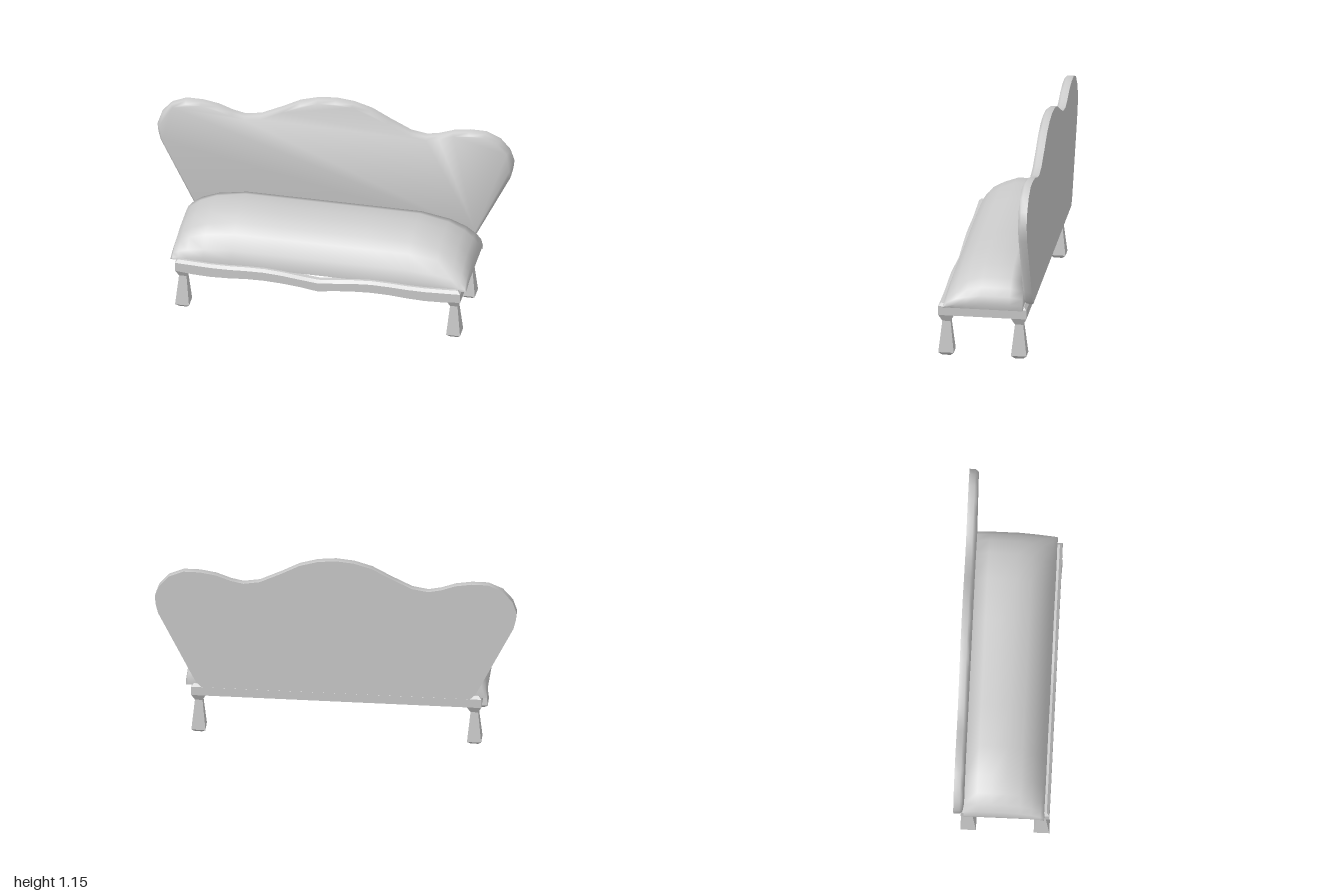
import * as THREE from 'three';
import { toCreasedNormals } from 'three/addons/utils/BufferGeometryUtils.js';

const material = new THREE.MeshStandardMaterial({ color: 0xcccccc });
const openMaterial = new THREE.MeshStandardMaterial({ color: 0xcccccc, side: THREE.DoubleSide });

// Joins rows of points with quads; optionally closes each row and the sequence of rows.
function skin(rows, closeRow, closeAll, caps = []) {
  const n = rows[0].length, index = [...caps];
  for (let i = 0; i < rows.length - (closeAll ? 0 : 1); i++) {
    for (let j = 0; j < n - (closeRow ? 0 : 1); j++) {
      const k = (i + 1) % rows.length, l = (j + 1) % n;
      const a = i * n + j, b = i * n + l, c = k * n + l, d = k * n + j;
      index.push(a, b, c, a, c, d);
    }
  }
  const g = new THREE.BufferGeometry();
  g.setAttribute('position', new THREE.Float32BufferAttribute(rows.flat(2), 3));
  g.setIndex(index);
  g.computeVertexNormals();
  return g;
}

function addMesh(parent, name, geometry, mat = material) {
  const mesh = new THREE.Mesh(geometry, mat);
  mesh.name = name;
  parent.add(mesh);
  return mesh;
}

// Three-lobed back panel with a bevelled front edge
function backrestGeometry() {
  const half = [[0.74, 0.31], [0.77, 0.34], [0.8, 0.4], [0.98, 0.77], [0.992, 0.82], [0.998, 0.87],
    [0.975, 0.94], [0.92, 1.005], [0.84, 1.04], [0.75, 1.04], [0.66, 1.025], [0.58, 0.995],
    [0.51, 0.98], [0.42, 0.995], [0.3, 1.055], [0.2, 1.11], [0.1, 1.14]];
  const outline = [...half, [0, 1.15], ...half.map(([x, y]) => [-x, y]).reverse()];
  const n = outline.length;
  const inset = (d) => outline.map(([x, y], i) => {
    const p = outline[(i + n - 1) % n], q = outline[(i + 1) % n];
    const tx = q[0] - p[0], ty = q[1] - p[1], len = Math.hypot(tx, ty);
    return [x - (ty / len) * d, y + (tx / len) * d];
  });
  const rows = [[0, -0.26], [0, -0.226], [0.014, -0.21]]
    .map(([d, z]) => inset(d).map(([x, y]) => [x, y, z]));
  const tris = THREE.ShapeUtils.triangulateShape(outline.map(([x, y]) => new THREE.Vector2(x, y)), []);
  const caps = tris.flatMap(([a, b, c]) => [a, c, b, a + 2 * n, b + 2 * n, c + 2 * n]);
  return toCreasedNormals(skin(rows, true, false, caps), 1.0);
}

// Domed seat, open underneath: crowned lengthwise and crosswise
function cushionGeometry() {
  const base = 0.295, rise = 0.235;
  const endProfile = [[0.822, 0], [0.83, 0.15], [0.82, 0.33], [0.79, 0.5], [0.74, 0.68], [0.65, 0.86], [0.49, 1]];
  const xs = [...endProfile.map(([x, f]) => [-x, f]), [-0.25, 1], [0, 1], [0.25, 1], ...[...endProfile].reverse()];
  const zs = [[-0.212, 0], [-0.211, 0.87], [-0.14, 1], [-0.06, 1], [0.02, 1], [0.1, 0.85],
    [0.16, 0.68], [0.21, 0.36], [0.23, 0.15], [0.232, 0]];
  return skin(xs.map(([x, f]) => zs.map(([z, g]) => [x, base + rise * f * g, z])), false, false);
}

// Closed rail loop with a scalloped front and chamfered outer top edge
function frameGeometry() {
  const t = 0.04, c = 0.015;
  // x, lower edge, upper edge of the front rail
  const half = [[0.7, 0.23, 0.303], [0.6, 0.226, 0.299], [0.5, 0.23, 0.3], [0.4, 0.238, 0.305],
    [0.3, 0.24, 0.307], [0.2, 0.235, 0.3], [0.1, 0.225, 0.288]];
  const front = [...half.map(([x, b, u]) => [-x, b, u]), [0, 0.21, 0.277], ...[...half].reverse()];
  // x, z, inward x, inward z, lower edge, upper edge
  const stations = [
    [-0.8, 0.26, 1, -1, 0.24, 0.307],
    ...front.map(([x, b, u]) => [x, 0.26, 0, -1, b, u]),
    [0.8, 0.26, -1, -1, 0.24, 0.307],
    [0.8, -0.23, -1, 1, 0.24, 0.307],
    [-0.8, -0.23, 1, 1, 0.24, 0.307],
  ];
  const rows = stations.map(([x, z, ix, iz, low, high]) =>
    [[t, high], [c, high], [0, high - c], [0, low], [t, low]].map(([d, y]) => [x + ix * d, y, z + iz * d]));
  return toCreasedNormals(skin(rows, true, true), 0.6);
}

// Square leg, waisted below the rail and tapered under the foot
function legGeometry() {
  const profile = [[0, 0], [0.023, 0], [0.043, 0.02], [0.023, 0.2], [0.043, 0.24], [0.043, 0.285], [0, 0.285]]
    .map(([r, y]) => new THREE.Vector2(r * Math.SQRT2, y));
  const g = new THREE.LatheGeometry(profile, 4, Math.PI / 4);
  g.scale(0.91, 1, 1);
  return toCreasedNormals(g, 0.2);
}

export function createModel() {
  const sofa = new THREE.Group();
  sofa.name = 'sofa';
  addMesh(sofa, 'backrest', backrestGeometry());
  addMesh(sofa, 'seatCushion', cushionGeometry(), openMaterial);
  addMesh(sofa, 'seatFrame', frameGeometry());

  const leg = legGeometry();
  for (const [end, z] of [['front', 0.216], ['back', -0.187]]) {
    for (const [side, x] of [['Left', 0.76], ['Right', -0.76]]) {
      addMesh(sofa, `${end}${side}Leg`, leg).position.set(x, 0, z);
    }
  }
  return sofa;
}
